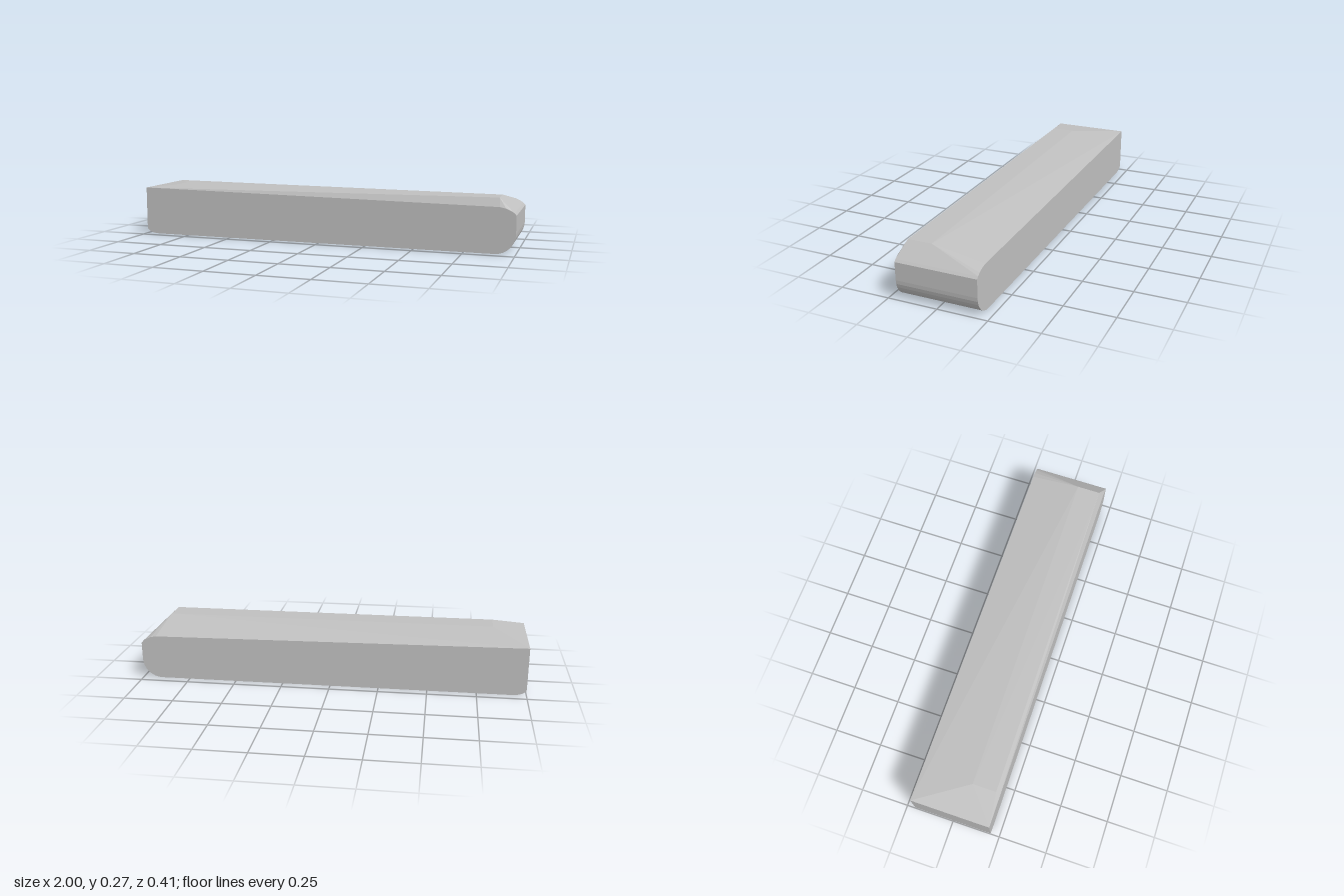
import * as THREE from 'three';
import { ConvexGeometry } from 'three/addons/geometries/ConvexGeometry.js';

const HALF_DEPTH = 0.204;

// Points along a quarter ellipse centred on (cx, cy)
function corner(cx, cy, rx, ry, from, steps) {
  const points = [];
  for (let i = 0; i <= steps; i++) {
    const a = from + (i / steps) * Math.PI / 2;
    points.push([cx + rx * Math.cos(a), cy + ry * Math.sin(a)]);
  }
  return points;
}

export function createModel() {
  const grey = new THREE.MeshStandardMaterial({ color: 0xc0c0c0 });
  grey.name = 'plain grey';

  // Side outline shared by the front and back faces
  const outline = [
    [-1, 0.252],
    [0.92, 0.229], [0.95, 0.223], [0.975, 0.212], [0.99, 0.202], [1, 0.191],
    ...corner(0.9, 0.101, 0.1, 0.101, -Math.PI / 2, 8),
    ...corner(-0.93, 0.032, 0.07, 0.032, Math.PI, 6),
  ];
  const points = [];
  for (const z of [-HALF_DEPTH, HALF_DEPTH]) {
    for (const [x, y] of outline) points.push(new THREE.Vector3(x, y, z));
  }

  // Raised flat area; the top slopes away from it on every side
  for (const x of [-0.83, 0.915]) {
    for (const z of [0.06, 0.181]) points.push(new THREE.Vector3(x, 0.272, z));
  }

  const body = new THREE.Mesh(new ConvexGeometry(points), grey);
  body.name = 'bevelledBar';

  const group = new THREE.Group();
  group.name = 'bar';
  group.add(body);
  return group;
}
